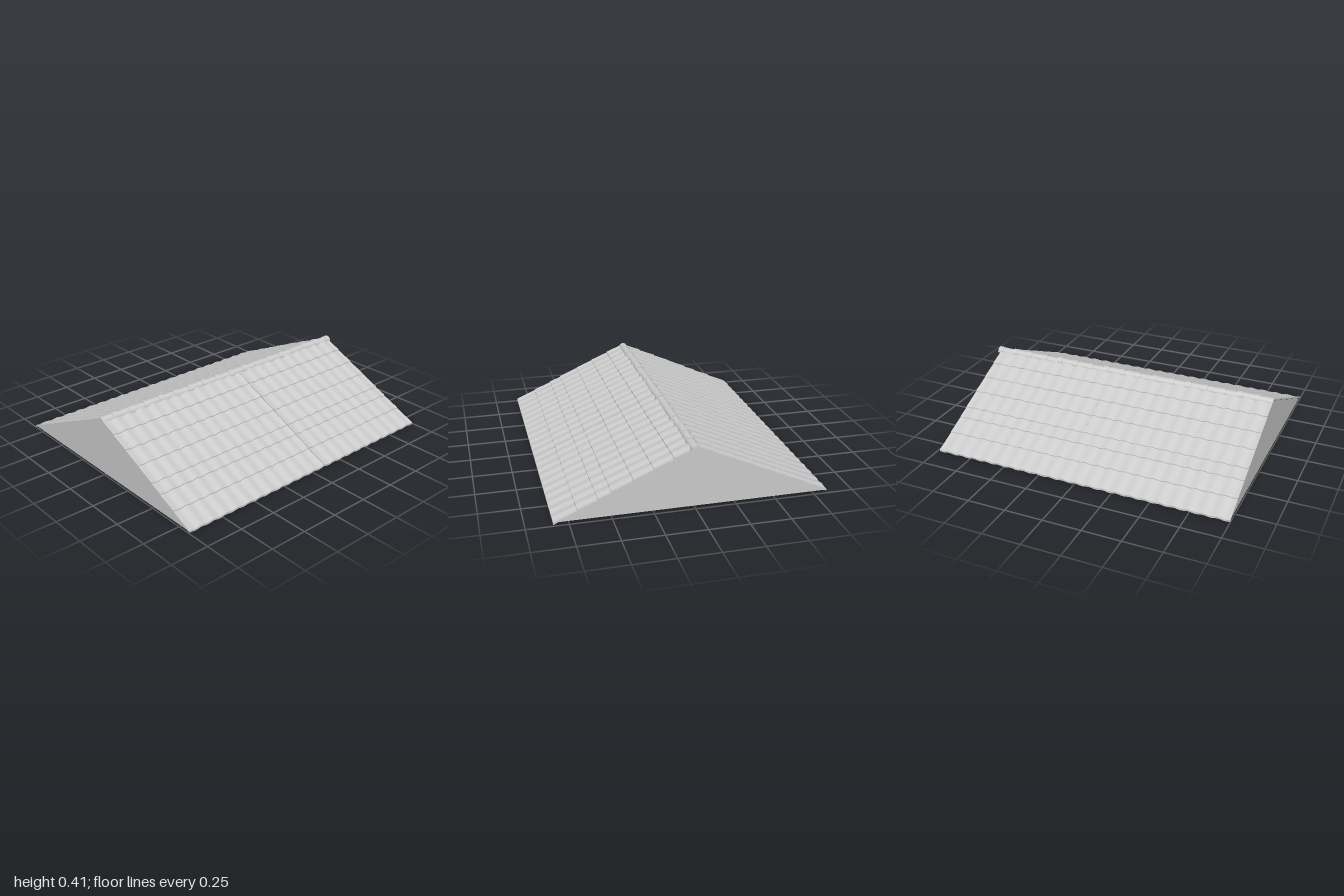
import * as THREE from 'three';
import { toCreasedNormals } from 'three/addons/utils/BufferGeometryUtils.js';

const SLOPE = 0.455, RIDGE_Y = 0.39, PITCH = 1.1 / 12;
const material = new THREE.MeshStandardMaterial({ color: 0xcccccc, side: THREE.DoubleSide });

function addMesh(group, name, geometry) {
  const mesh = new THREE.Mesh(geometry, material);
  mesh.name = name;
  group.add(mesh);
  return mesh;
}

// Ribbed sheet from x0 to x1: a closed cross-section in z, swept along x.
// rows lists the z of each tile edge; every row rises a little to its lower edge.
function tileSheet(x0, x1, rows) {
  const section = [];
  for (let i = 0; i + 1 < rows.length; i++) {
    section.push([rows[i], 0.001], [rows[i + 1], 0.007]);
  }
  const last = rows[rows.length - 1];
  section.push([last, -0.005], [rows[0], -0.005]);

  const count = Math.round((x1 - x0) / PITCH) * 8;
  const n = section.length, position = [], index = [];
  for (let i = 0; i <= count; i++) {
    const x = x0 + (x1 - x0) * i / count;
    const wave = 0.003 * Math.cos((x + 1) / PITCH * Math.PI * 2);
    for (const [z, lift] of section) {
      position.push(x, RIDGE_Y - SLOPE * z + lift + wave, z);
    }
  }
  for (let i = 0; i < count; i++) {
    for (let j = 0; j < n; j++) {
      const a = i * n + j, b = i * n + (j + 1) % n;
      index.push(a, b, a + n, b, b + n, a + n);
    }
  }
  // Close both cut edges between the top line and the flat underside
  for (const start of [0, count * n]) {
    for (let j = 0; j < n - 2; j++) {
      const a = start + n - 1, b = start + j, c = start + j + 1;
      if (start === 0) index.push(a, c, b);
      else index.push(a, b, c);
    }
  }
  const geometry = new THREE.BufferGeometry();
  geometry.setAttribute('position', new THREE.Float32BufferAttribute(position, 3));
  geometry.setIndex(index);
  return toCreasedNormals(geometry, 0.6);
}

// Half-round shell along x, wider at the +x end
function halfShell(length, r0, r1) {
  const geometry = new THREE.CylinderGeometry(r0, r1, length, 14, 1, true, 0, Math.PI);
  return geometry.rotateZ(Math.PI / 2);
}

// Half ring that gives a shell end its thickness
function halfRim(inner, outer) {
  return new THREE.RingGeometry(inner, outer, 14, 1, 0, Math.PI).rotateY(Math.PI / 2);
}

export function createModel() {
  const roof = new THREE.Group();
  roof.name = 'gableRoof';

  // Upper and lower sheets on each slope, with a joint on the front
  const bands = [[0, 0.13, 0.25, 0.37, 0.5], [0.497, 0.58, 0.7, 0.84]];
  const slopes = [
    { name: 'frontSlope', spans: [[-1, 0.097], [0.103, 0.99]], turn: 1 },
    { name: 'backSlope', spans: [[-1, 0.1], [0.1, 0.98]], turn: -1 },
  ];
  for (const { name, spans, turn } of slopes) {
    const slope = new THREE.Group();
    slope.name = name;
    for (const [x0, x1] of spans) {
      bands.forEach((rows, k) => {
        // The back is turned about y, so its x range is mirrored
        const range = turn > 0 ? [x0, x1] : [-x1, -x0];
        addMesh(slope, k ? 'lowerTileSheet' : 'upperTileSheet', tileSheet(range[0], range[1], rows));
      });
    }
    if (turn < 0) slope.rotation.y = Math.PI;
    roof.add(slope);
  }

  // Gable walls; the underside stays open
  const triangle = new THREE.Shape([
    new THREE.Vector2(-0.825, 0.01),
    new THREE.Vector2(0.825, 0.01),
    new THREE.Vector2(0, 0.386),
  ]);
  for (const side of [-1, 1]) {
    const gable = addMesh(roof, side > 0 ? 'leftGable' : 'rightGable', new THREE.ShapeGeometry(triangle));
    gable.rotation.y = side * Math.PI / 2;
    gable.position.x = side > 0 ? 0.978 : -0.996;
  }

  // Overlapping ridge tiles, each with a raised collar at its wide end
  const ridge = new THREE.Group();
  ridge.name = 'ridgeTiles';
  const tiles = 17, step = 2 / tiles;
  for (let i = 0; i < tiles; i++) {
    const tile = new THREE.Group();
    tile.name = 'ridgeTile';
    addMesh(tile, 'barrel', halfShell(step, 0.027, 0.029));
    const collar = addMesh(tile, 'collar', halfShell(0.036, 0.031, 0.032));
    collar.position.x = step / 2 - 0.018;
    for (const x of [step / 2, step / 2 - 0.036]) {
      addMesh(tile, 'collarRim', halfRim(0.024, 0.0315)).position.x = x;
    }
    if (i === 0) addMesh(tile, 'endRim', halfRim(0.021, 0.028)).position.x = -step / 2;
    // Slightly uneven bedding
    tile.position.set(-1 + step * (i + 0.5), 0.374 + 0.0015 * Math.sin(i * 2.3), 0.002 * Math.sin(i * 1.7));
    ridge.add(tile);
  }
  roof.add(ridge);

  // Turn every half shell so that its round side is up
  ridge.traverse((part) => {
    if (part.name === 'barrel' || part.name === 'collar') {
      part.geometry.computeBoundingBox();
      const box = part.geometry.boundingBox;
      if (box.max.z > 0.02 && box.min.z > -0.01) part.geometry.rotateX(-Math.PI / 2);
      else if (box.min.y < -0.02 && box.max.y < 0.01) part.geometry.rotateX(Math.PI);
    }
  });
  return roof;
}
